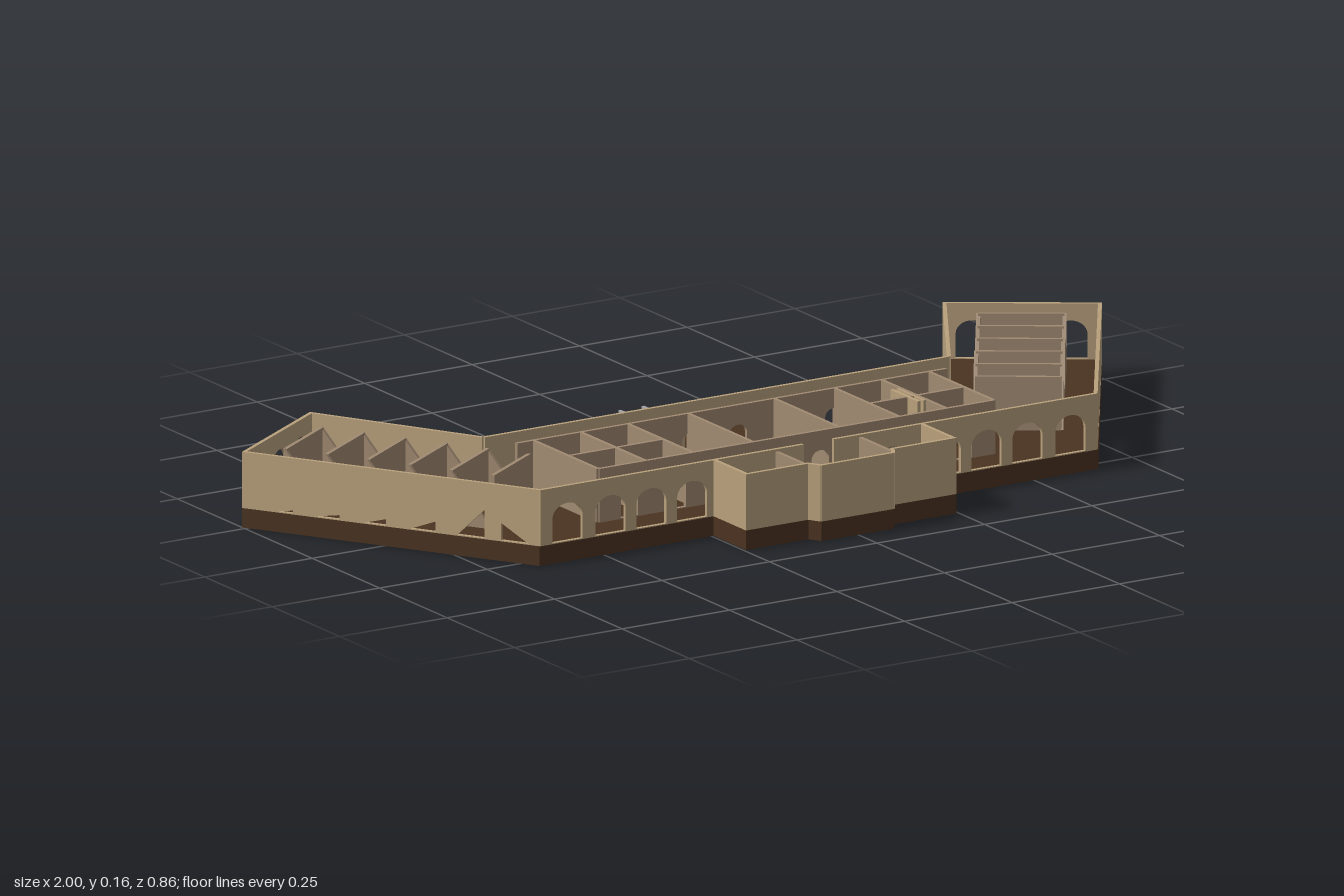
import * as THREE from 'three';

const FLOOR = 0.04, TOP = 0.155, T = 0.008;
const mat = (color) => new THREE.MeshStandardMaterial({ color, flatShading: true, side: THREE.DoubleSide });

export function createModel() {
  const model = new THREE.Group();
  const stone = mat(0xb8a07c), plaster = mat(0xa08a72), wood = mat(0x4a3220), grey = mat(0x5c5c5c), pale = mat(0xa8a8ac);

  const add = (name, geometry, material) => {
    const mesh = new THREE.Mesh(geometry, material);
    mesh.name = name;
    model.add(mesh);
    return mesh;
  };
  const box = (name, x0, x1, y0, y1, z0, z1, material) =>
    add(name, new THREE.BoxGeometry(x1 - x0, y1 - y0, z1 - z0), material)
      .position.set((x0 + x1) / 2, (y0 + y1) / 2, (z0 + z1) / 2);
  const polygon = (points) => new THREE.Shape(points.map(([a, b]) => new THREE.Vector2(a, b)));

  // Round-headed opening centred at u along a wall
  const arch = (u, w, top, bottom = FLOOR + 0.002) => {
    const p = new THREE.Path();
    const spring = top - w * 0.42;
    p.moveTo(u - w / 2, bottom);
    p.lineTo(u + w / 2, bottom);
    p.lineTo(u + w / 2, spring);
    p.absellipse(u, spring, w / 2, w * 0.42, 0, Math.PI, false, 0);
    p.closePath();
    return p;
  };
  const triangle = (a, b, height) => polygon([[a, FLOOR + 0.002], [a, height], [b, FLOOR + 0.002]]);

  // Upright panel standing on the line from (x0, z0) to (x1, z1)
  const panel = (name, [x0, z0], [x1, z1], shape, material) => {
    const geometry = new THREE.ExtrudeGeometry(shape, { depth: T, bevelEnabled: false, curveSegments: 8 });
    geometry.translate(0, 0, -T / 2);
    const mesh = add(name, geometry, material);
    mesh.position.set(x0, 0, z0);
    mesh.rotation.y = Math.atan2(z0 - z1, x1 - x0);
  };
  const wall = (name, a, b, { holes = [], material = stone, top = TOP } = {}) => {
    const length = Math.hypot(b[0] - a[0], b[1] - a[1]);
    const shape = polygon([[0, FLOOR], [length, FLOOR], [length, top], [0, top]]);
    shape.holes.push(...holes);
    panel(name, a, b, shape, material);
  };
  const inner = { material: plaster, top: 0.15 };

  // Floor slab with both wings, front porch and bay
  const half = [[0.085, 0.43], [0.1, 0.405], [0.245, 0.405], [0.245, 0.285], [0.65, 0.285],
    [1, -0.26], [0.735, -0.43], [0.54, -0.1]];
  const outline = [...half, ...half.map(([x, z]) => [-x, z]).reverse()];
  const slab = new THREE.ExtrudeGeometry(polygon(outline.map(([x, z]) => [x, -z])), { depth: FLOOR, bevelEnabled: false });
  slab.rotateX(-Math.PI / 2);
  add('floorSlab', slab, wood);
  box('rearTerrace', -0.22, 0.22, 0.008, 0.038, -0.36, -0.1, wood);

  // Small open steps behind the terrace
  box('rearStep', -0.03, 0.03, 0.004, 0.022, -0.41, -0.36, pale);
  for (const s of [-1, 1]) box('rearStepCheek', s * 0.027 - 0.003, s * 0.027 + 0.003, 0.004, 0.055, -0.41, -0.36, pale);

  // Rear wall with a row of arched openings
  const rearHoles = [];
  for (let i = 0; i < 10; i++) rearHoles.push(arch(0.09 + i * 0.1, 0.05, 0.1));
  wall('rearWall', [-0.54, -0.096], [0.54, -0.096], { holes: rearHoles });

  for (const s of [-1, 1]) {
    const at = (x, z) => [s * x, z];

    // Arcaded front wall
    wall('frontWall', at(0.245, 0.281), at(0.648, 0.281),
      { holes: [0.05, 0.145, 0.24, 0.34].map((u) => arch(u, 0.07, 0.12)) });

    // Wing outer wall with wedge-shaped openings: z of upright edge, z of tip, height
    const wedges = [[0.21, 0.26, 0.078], [0.18, 0.13, 0.1], [0.09, 0.045, 0.063],
      [0, -0.04, 0.055], [-0.085, -0.13, 0.051], [-0.17, -0.2, 0.048]];
    const along = (z) => (0.28 - z) * 1.19;
    wall('wingOuterWall', at(0.646, 0.281), at(0.996, -0.26),
      { holes: wedges.map(([a, b, h]) => triangle(along(a), along(b), h)) });
    wall('wingEndWall', at(0.997, -0.257), at(0.735, -0.425),
      { holes: [0.06, 0.157, 0.254].map((u) => arch(u, 0.066, 0.12)) });
    wall('wingInnerWall', at(0.738, -0.426), at(0.542, -0.097),
      { holes: [0.05, 0.13, 0.21, 0.29].map((u) => triangle(u, u + 0.04, 0.075)) });

    // Wing cross partitions, linked by sawtooth panels along both sides
    const spacing = 0.09, reach = 0.085;
    const spot = (k, side) => {
      const d = 0.06 + k * spacing;
      return at(0.8675 - 0.544 * d + 0.839 * side * reach, -0.345 + 0.839 * d + 0.544 * side * reach);
    };
    for (let k = 0; k < 6; k++) {
      wall('wingPartition', spot(k, -1), spot(k, 1), inner);
      if (k === 5) continue;
      for (const side of [-1, 1])
        panel('wingSawtooth', spot(k, side), spot(k + 1, side),
          polygon([[0, FLOOR], [spacing, FLOOR], [0, 0.15]]), plaster);
    }

    // Room dividers of the main block
    for (const x of [0.46, 0.35, 0.24, 0.1]) wall('roomDivider', at(x, -0.04), at(x, 0.2), inner);
    wall('middleRoomWall', at(0.24, 0.09), at(0.46, 0.09), inner);

    // Porch and chamfered bay
    wall('porchSideWall', at(0.241, 0.281), at(0.241, 0.405));
    wall('porchFrontWall', at(0.245, 0.401), at(0.095, 0.401));
    wall('bayCorner', at(0.097, 0.403), at(0.084, 0.426));
    wall('porchDivider', at(0.097, 0.285), at(0.097, 0.4), inner);
    wall('porchRearWall', at(0.245, 0.281), at(0.035, 0.281), { holes: [arch(0.075, 0.05, 0.12)] });

    // Stair flights rising to the landing
    for (let i = 0; i < 6; i++) {
      const z = 0.29 + i * 0.0135;
      box('stairStep', s * 0.06 - 0.03, s * 0.06 + 0.03, FLOOR, 0.06 + i * 0.012, z, z + 0.0135, grey);
    }
  }
  wall('bayFrontWall', [-0.085, 0.426], [0.085, 0.426]);
  box('stairLanding', -0.09, 0.09, 0.115, 0.13, 0.371, 0.42, grey);

  // Corridor walls running the length of the main block
  const doors = [];
  for (let i = 0; i < 8; i++) doors.push(arch(0.07 + i * 0.111, 0.04, 0.11));
  wall('rearCorridorWall', [-0.5, -0.04], [0.5, -0.04], { ...inner, holes: doors });
  wall('frontCorridorWall', [-0.46, 0.2], [0.46, 0.2], { ...inner, holes: doors });
  for (const x of [0.33, 0.345]) wall('closetWall', [x, 0.03], [x, 0.13], { top: 0.15 });

  return model;
}
